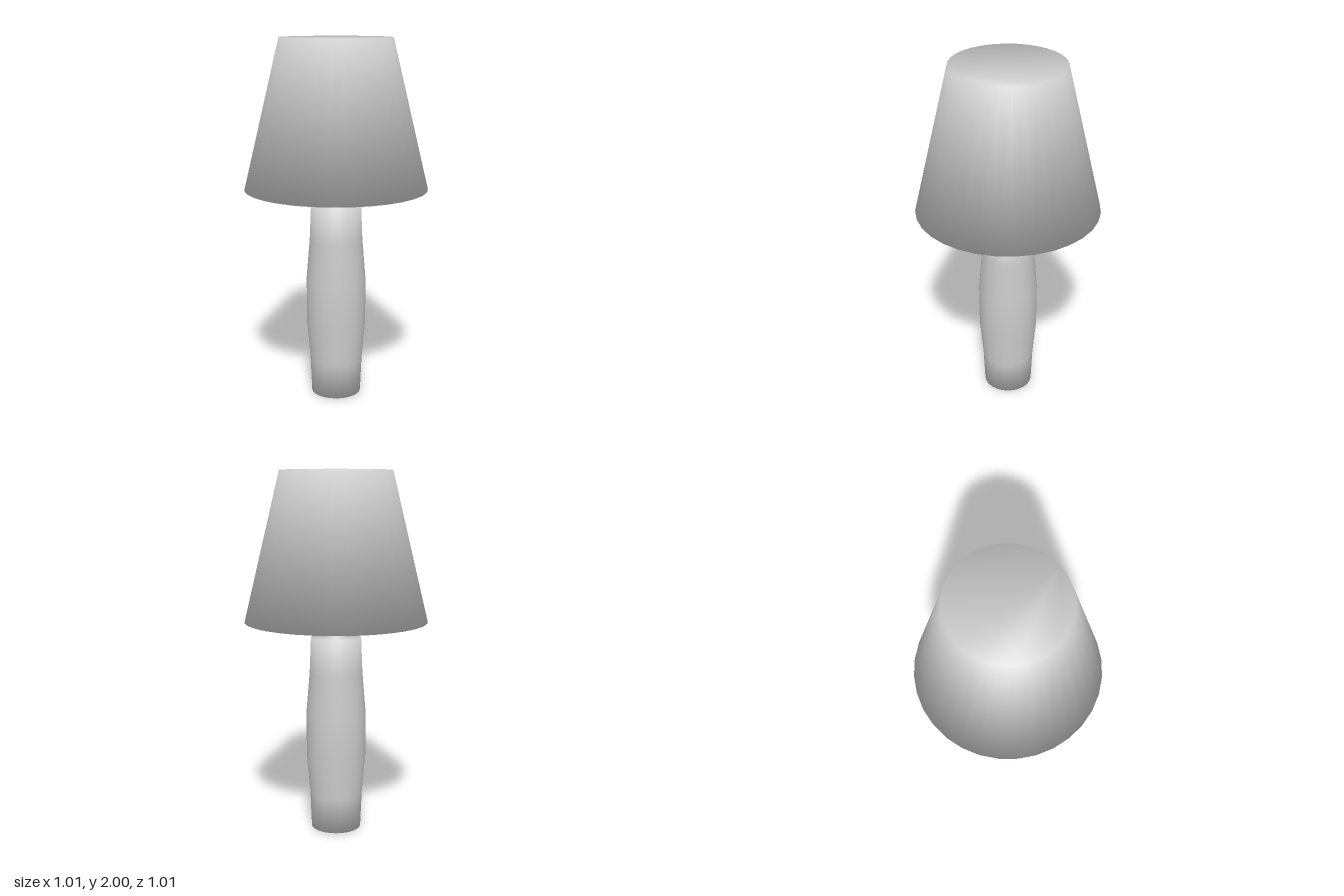
import * as THREE from 'three';

const SIDES = 32;

// Closed solid of revolution with soft shared normals and flat end discs.
// The profile runs [radius, height] from the lower disc to the upper disc.
function softTurned(name, profile, material) {
  const n = profile.length;
  // outward direction of every profile step, with the end discs facing down and up
  const dirs = [new THREE.Vector2(0, -1)];
  for (let i = 0; i < n - 1; i++) {
    const [r0, y0] = profile[i], [r1, y1] = profile[i + 1];
    dirs.push(new THREE.Vector2(y1 - y0, r0 - r1).normalize());
  }
  dirs.push(new THREE.Vector2(0, 1));

  const pos = [], nor = [], idx = [];
  profile.forEach(([r, y], i) => {
    const d = dirs[i].clone().add(dirs[i + 1]).normalize();
    for (let s = 0; s < SIDES; s++) {
      const a = (s / SIDES) * Math.PI * 2, sn = Math.sin(a), cs = Math.cos(a);
      pos.push(r * sn, y, r * cs);
      nor.push(d.x * sn, d.y, d.x * cs);
    }
  });
  // walls
  for (let i = 0; i < n - 1; i++) {
    for (let s = 0; s < SIDES; s++) {
      const t = (s + 1) % SIDES;
      const a = i * SIDES + s, b = i * SIDES + t, c = a + SIDES, d = b + SIDES;
      idx.push(a, b, d, a, d, c);
    }
  }
  // end discs
  const top = (n - 1) * SIDES;
  for (let s = 1; s < SIDES - 1; s++) {
    idx.push(0, s + 1, s);
    idx.push(top, top + s, top + s + 1);
  }

  const geo = new THREE.BufferGeometry();
  geo.setAttribute('position', new THREE.Float32BufferAttribute(pos, 3));
  geo.setAttribute('normal', new THREE.Float32BufferAttribute(nor, 3));
  geo.setIndex(idx);
  const mesh = new THREE.Mesh(geo, material);
  mesh.name = name;
  return mesh;
}

export function createModel() {
  const group = new THREE.Group();
  group.name = 'tableLamp';
  const grey = new THREE.MeshStandardMaterial({ color: 0xcccccc });

  // bulging base that steps in to a short neck
  group.add(softTurned('baseAndNeck', [
    [0.139, 0], [0.147, 0.2], [0.166, 0.42], [0.166, 0.67],
    [0.147, 0.9], [0.139, 1.095], [0.051, 1.095], [0.051, 1.268],
  ], grey));

  // tapered shade with a recessed underside resting on the neck
  group.add(softTurned('lampshade', [
    [0.447, 1.265], [0.467, 1.185], [0.504, 1.185], [0.306, 2],
  ], grey));

  return group;
}
